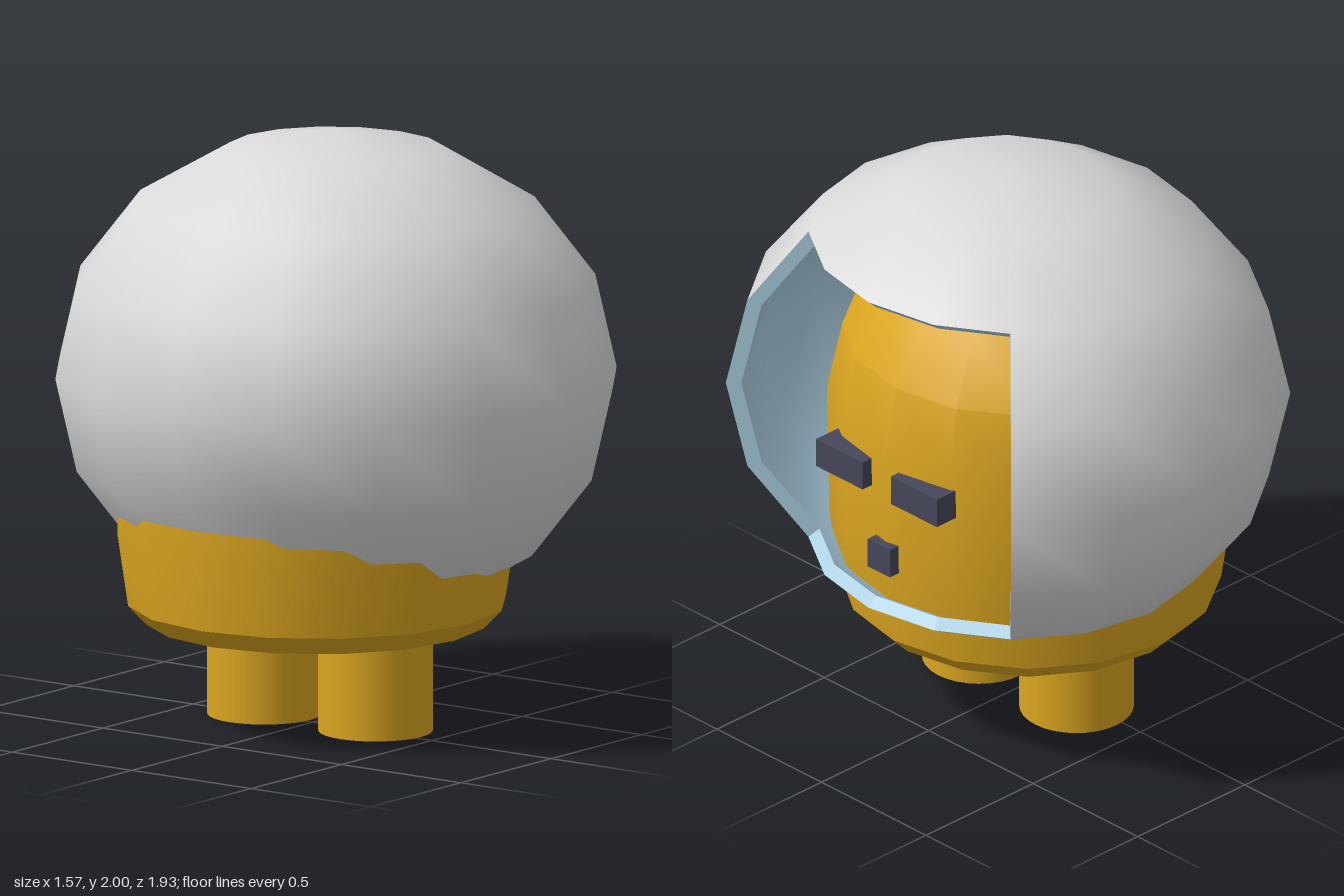
import * as THREE from 'three';
import { mergeGeometries, toCreasedNormals } from 'three/addons/utils/BufferGeometryUtils.js';

const mat = (name, color, side = THREE.FrontSide) => {
  const m = new THREE.MeshStandardMaterial({ color, side });
  m.name = name;
  return m;
};

export function createModel() {
  const white = mat('helmetWhite', 0xd9d9d9);
  const blue = mat('liningBlue', 0xadd0e3, THREE.DoubleSide);
  const gold = mat('bodyGold', 0xdaa520);
  const dark = mat('faceDark', 0x45475a);

  const model = new THREE.Group();
  model.name = 'helmetedFigure';
  const add = (name, geometry, material, x = 0, y = 0, z = 0) => {
    const mesh = new THREE.Mesh(geometry, material);
    mesh.name = name;
    mesh.position.set(x, y, z);
    model.add(mesh);
    return mesh;
  };

  // Helmet: a 16 x 8 ellipsoid with a window opening towards +x
  const R = [0.92, 0.83, 0.966], C = [0.13, 1.17, 0], INNER = 0.945;
  const Q = Math.PI / 4;
  const shell = (k) => mergeGeometries([
    new THREE.SphereGeometry(1, 16, 2, 0, Math.PI * 2, 0, Q),
    new THREE.SphereGeometry(1, 12, 4, 5 * Q, 6 * Q, Q, 2 * Q),
    new THREE.SphereGeometry(1, 16, 2, 0, Math.PI * 2, 3 * Q, Q),
  ]).scale(R[0] * k, R[1] * k, R[2] * k);
  add('helmetShell', shell(1), white, ...C);
  add('helmetLining', shell(INNER), blue, ...C);

  // Window rim: joins the outer and inner edges of the opening
  const loop = [];
  for (let i = 0; i < 4; i++) loop.push([-Q + i * Q / 2, Q]);
  for (let i = 0; i < 4; i++) loop.push([Q, Q + i * Q / 2]);
  for (let i = 0; i < 4; i++) loop.push([Q - i * Q / 2, 3 * Q]);
  for (let i = 0; i < 4; i++) loop.push([-Q, 3 * Q - i * Q / 2]);
  const edge = ([az, th], k) => [
    R[0] * k * Math.sin(th) * Math.cos(az),
    R[1] * k * Math.cos(th),
    R[2] * k * Math.sin(th) * Math.sin(az),
  ];
  const rimPos = [];
  loop.forEach((p, i) => {
    const q = loop[(i + 1) % loop.length];
    const a = edge(p, 1), b = edge(q, 1), c = edge(q, INNER), d = edge(p, INNER);
    rimPos.push(...a, ...b, ...c, ...a, ...c, ...d);
  });
  const rim = new THREE.BufferGeometry();
  rim.setAttribute('position', new THREE.Float32BufferAttribute(rimPos, 3));
  rim.computeVertexNormals();
  add('windowRim', rim, blue, ...C);

  // Body: shallow pointed base, bevel, straight sides and a dome
  const profile = [[0, 0.31], [0.575, 0.345], [0.637, 0.41], [0.672, 0.65]]
    .map(([x, y]) => new THREE.Vector2(x, y));
  for (let i = 0; i <= 4; i++) {
    const a = i * Math.PI / 8;
    profile.push(new THREE.Vector2(i === 4 ? 0 : 0.68 * Math.cos(a), 1.13 + 0.64 * Math.sin(a)));
  }
  add('body', toCreasedNormals(new THREE.LatheGeometry(profile, 16), 0.5), gold, 0.025, 0, 0);

  // Legs
  for (const [name, z] of [['rightLeg', 0.245], ['leftLeg', -0.22]]) {
    add(name, new THREE.CylinderGeometry(0.192, 0.192, 0.45, 32), gold, 0.025, 0.225, z);
  }

  // Face: two bar eyes and a small mouth
  const block = (name, z0, z1, y0, y1) => add(
    name, new THREE.BoxGeometry(0.16, y1 - y0, z1 - z0), dark,
    0.65, (y0 + y1) / 2, (z0 + z1) / 2);
  block('rightEye', 0.08, 0.303, 0.985, 1.088);
  block('leftEye', -0.275, -0.055, 0.985, 1.09);
  block('mouth', -0.05, 0.056, 0.7, 0.805);

  return model;
}
